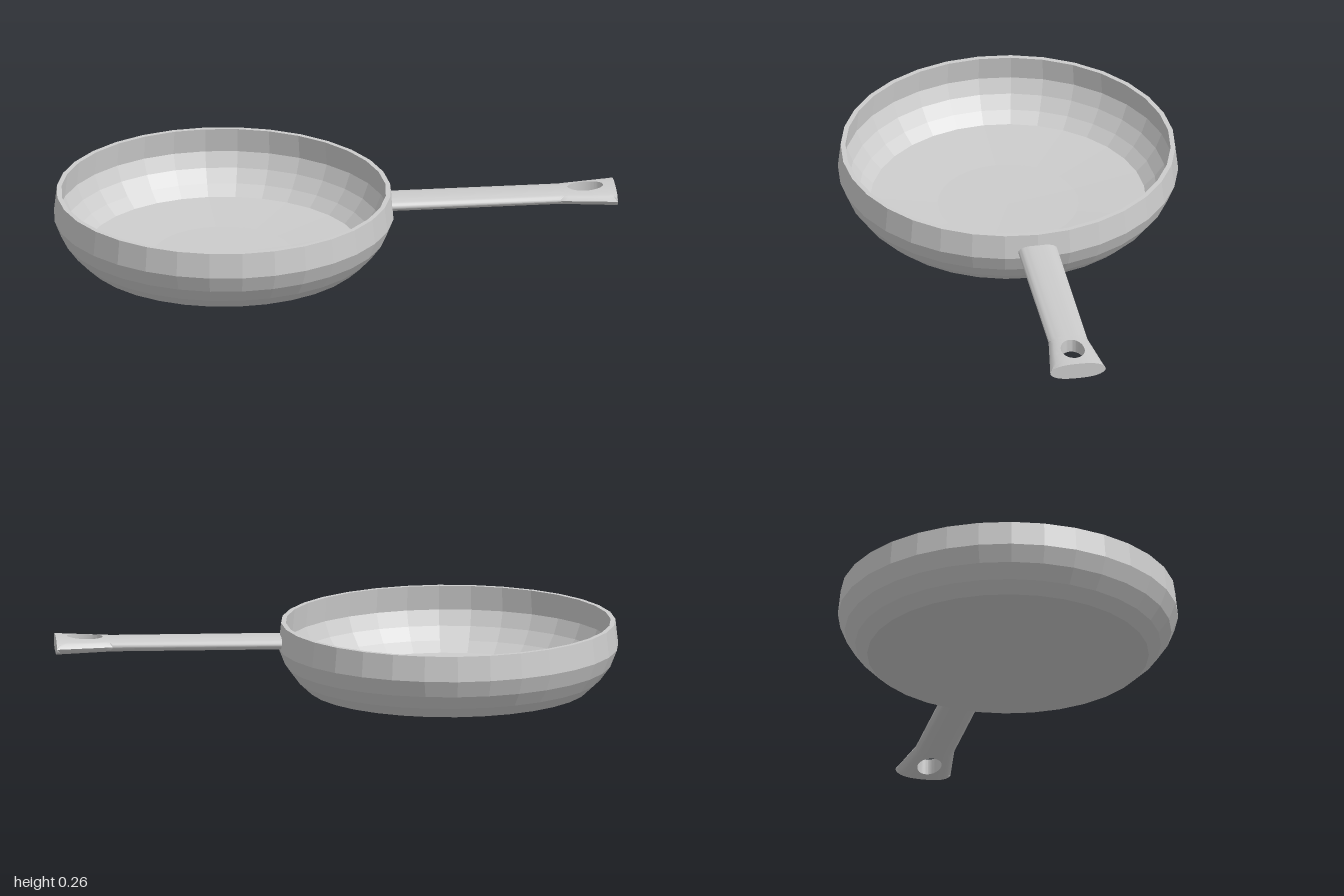
import * as THREE from 'three';
import { toCreasedNormals } from 'three/addons/utils/BufferGeometryUtils.js';

const PAN_X = -0.396;
const HANDLE_Y = 0.194;
const START = 0.19, FLARE = 0.8, END = 1;

// Handle half width and half thickness along x
const flare = x => Math.max(0, (x - FLARE) / (END - FLARE));
const halfWidth = x => 0.07 + 0.03 * flare(x);
const halfHeight = (x, z) => {
  const u = Math.min(1, Math.abs(z / halfWidth(x)));
  return (0.024 + 0.006 * flare(x)) * Math.sqrt(Math.max(0, 1 - u ** 2.7));
};

function handleGeometry() {
  const pos = [];
  const point = ([x, z], side) => [x, HANDLE_Y + side * halfHeight(x, z), z];
  const quad = (a, b, c, d, flip = false) => {
    const q = flip ? [d, c, b, a] : [a, b, c, d];
    for (const i of [0, 1, 2, 0, 2, 3]) pos.push(...q[i]);
  };
  // Top and bottom skin between two rows of plan points
  const skin = (rowA, rowB) => {
    for (const s of [1, -1])
      for (let i = 0; i < rowA.length - 1; i++)
        quad(point(rowA[i], s), point(rowA[i + 1], s), point(rowB[i + 1], s), point(rowB[i], s), s < 0);
  };
  // Wall joining the top skin to the bottom skin along a row
  const wall = (row, flip) => {
    for (let i = 0; i < row.length - 1; i++)
      quad(point(row[i], 1), point(row[i + 1], 1), point(row[i + 1], -1), point(row[i], -1), flip);
  };

  const N = 20, M = 10, RINGS = 5;
  const across = x => Array.from({ length: N + 1 }, (_, i) => [x, -halfWidth(x) * Math.cos(Math.PI * i / N)]);

  // Straight grip
  skin(across(START), across(FLARE));
  wall(across(START), true);
  wall(across(END), false);

  // Flared end: rings running from its outline in to the oval hole
  const outline = across(FLARE);
  const edge = Array.from({ length: M - 1 }, (_, i) => FLARE + (END - FLARE) * (i + 1) / M);
  outline.push(...edge.map(x => [x, halfWidth(x)]));
  outline.push(...across(END).reverse());
  outline.push(...edge.reverse().map(x => [x, -halfWidth(x)]), outline[0]);

  const hx = 0.895, rx = 0.063, rz = 0.042;
  const hole = outline.map(([x, z]) => {
    const a = Math.atan2(z / rz, (x - hx) / rx);
    return [hx + rx * Math.cos(a), rz * Math.sin(a)];
  });
  const ring = t => outline.map(([x, z], i) => [x + (hole[i][0] - x) * t, z + (hole[i][1] - z) * t]);
  for (let k = 0; k < RINGS; k++) skin(ring(k / RINGS), ring((k + 1) / RINGS));
  wall(hole, false);

  const g = new THREE.BufferGeometry();
  g.setAttribute('position', new THREE.Float32BufferAttribute(pos, 3));
  return toCreasedNormals(g, 0.6);
}

export function createModel() {
  const group = new THREE.Group();
  group.name = 'fryingPan';

  // Bowl: outside from the domed base up to the rim, then the inside back down
  const profile = [
    [0, 0], [0.25, 0.004], [0.5, 0.02], [0.543, 0.06], [0.58, 0.11], [0.604, 0.17], [0.594, 0.26],
    [0.577, 0.26], [0.586, 0.172], [0.563, 0.118], [0.529, 0.072], [0.49, 0.036], [0.25, 0.02], [0, 0.016],
  ].map(([r, y]) => new THREE.Vector2(r, y));
  const bowl = new THREE.Mesh(
    new THREE.LatheGeometry(profile, 32),
    new THREE.MeshStandardMaterial({ color: 0xcccccc, flatShading: true }),
  );
  bowl.name = 'bowl';
  bowl.position.x = PAN_X;

  // Handle with a hanging hole
  const handle = new THREE.Mesh(handleGeometry(), new THREE.MeshStandardMaterial({ color: 0xcccccc }));
  handle.name = 'handle';

  group.add(bowl, handle);
  return group;
}
